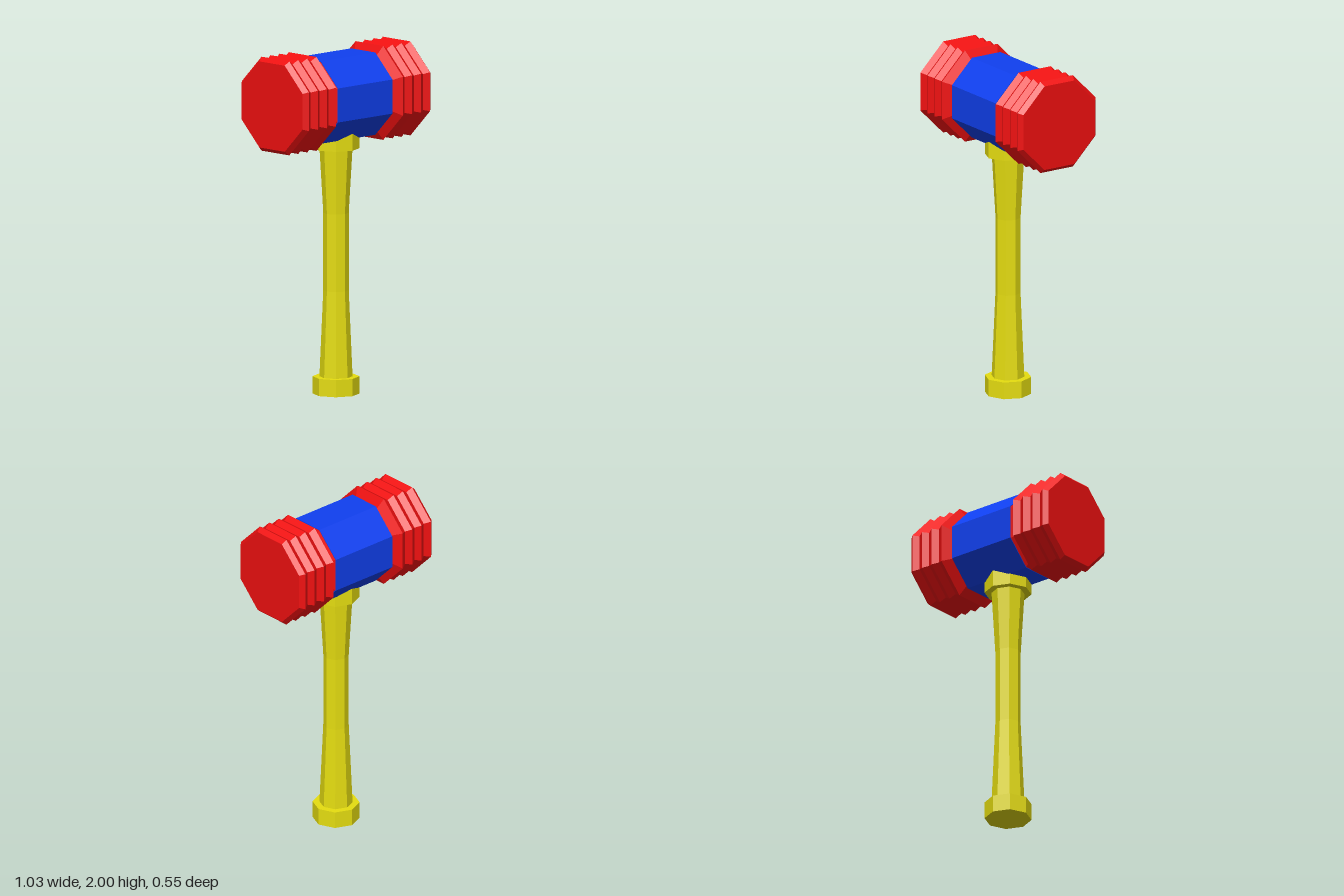
import * as THREE from 'three';

const SIDES = 8;
const HEAD_Y = 1.727;
const TO_RADIUS = 1 / Math.cos(Math.PI / SIDES); // flat-to-centre distance -> corner radius

const paint = (color) => new THREE.MeshStandardMaterial({ color, flatShading: true });

// Eight-sided turned part; points are [radius, height] from bottom to top.
function turned(name, points, material, scale = 1, phase = 0) {
  const profile = points.map(([r, h]) => new THREE.Vector2(r * scale, h));
  const mesh = new THREE.Mesh(new THREE.LatheGeometry(profile, SIDES, phase), material);
  mesh.name = name;
  return mesh;
}

export function createModel() {
  const model = new THREE.Group();
  model.name = 'mallet';
  const red = paint(0xf01010);
  const blue = paint(0x1040f0);
  const yellow = paint(0xe6de10);

  // Handle: pommel, waisted grip and collar, with a corner facing front
  const handle = new THREE.Group();
  handle.name = 'handle';
  handle.add(
    turned('pommel', [[0, 0], [0.135, 0], [0.135, 0.1], [0, 0.1]], yellow),
    turned('grip', [[0.095, 0.1], [0.073, 0.6], [0.073, 1.05], [0.095, 1.43]], yellow),
    turned('collar', [[0, 1.425], [0.135, 1.425], [0.135, 1.53], [0, 1.53]], yellow),
  );
  model.add(handle);

  // Head: lies along x, with flat faces up, down, front and back
  const head = new THREE.Group();
  head.name = 'head';
  head.position.y = HEAD_Y;
  model.add(head);

  const headPart = (name, points, material) => {
    const mesh = turned(name, points, material, TO_RADIUS, Math.PI / SIDES);
    mesh.geometry.rotateZ(-Math.PI / 2);
    head.add(mesh);
    return mesh;
  };
  headPart('barrel', [[0, -0.218], [0.239, -0.218], [0.239, 0.218], [0, 0.218]], blue);

  // Ridged striking ends, the second one turned to face the other way
  const ridges = [[0.235, 0.218], [0.208, 0.23]];
  const peaks = [0.268, 0.342, 0.414, 0.486];
  peaks.forEach((x, i) => {
    ridges.push([0.273, x]);
    if (i < peaks.length - 1) ridges.push([0.251, (x + peaks[i + 1]) / 2]);
  });
  ridges.push([0.25, 0.513], [0, 0.513]);
  headPart('leftStrikingEnd', ridges, red);
  headPart('rightStrikingEnd', ridges, red).rotation.y = Math.PI;

  return model;
}
